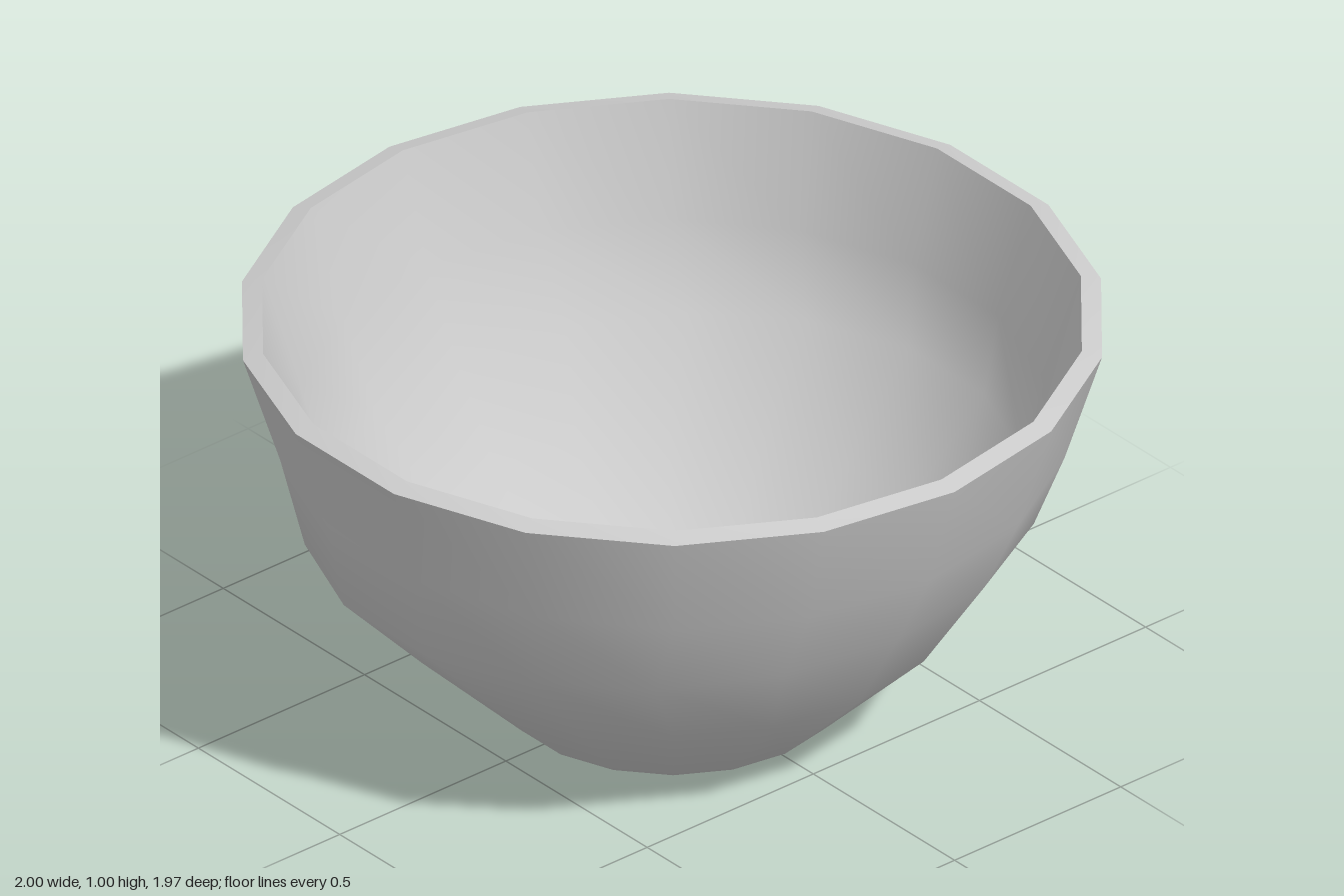
import * as THREE from 'three';
import { mergeVertices } from 'three/addons/utils/BufferGeometryUtils.js';

const SIDES = 18;
const BELLY_DEPTH = 1.104;

// Lathed strip with welded smooth normals; the belly ring is an oval, deeper front to back
function strip(name, points, material, bellyY) {
  const profile = points.map(([r, y]) => new THREE.Vector2(r, y));
  let geo = new THREE.LatheGeometry(profile, SIDES, Math.PI / 18);
  const p = geo.attributes.position;
  for (let i = 0; i < p.count; i++) {
    if (Math.abs(p.getY(i) - bellyY) < 0.001) p.setZ(i, p.getZ(i) * BELLY_DEPTH);
  }
  geo.deleteAttribute('uv');
  geo.deleteAttribute('normal');
  geo = mergeVertices(geo, 1e-4);
  geo.computeVertexNormals();
  const mesh = new THREE.Mesh(geo, material);
  mesh.name = name;
  return mesh;
}

export function createModel() {
  const group = new THREE.Group();
  group.name = 'bowl';
  const material = new THREE.MeshStandardMaterial({ color: 0xcccccc });

  // Outside wall, from the base centre up to the lip
  group.add(strip('outerWall',
    [[0, 0], [0.4, 0.008], [0.664, 0.27], [0.8, 0.5], [0.913, 0.71], [1, 0.988]], material, 0.5));
  // Narrow lip, slightly higher on the inside
  group.add(strip('rim', [[1, 0.988], [0.953, 1]], material));
  // Inside wall, from the lip down to the floor
  group.add(strip('innerWall',
    [[0.953, 1], [0.868, 0.73], [0.76, 0.523], [0.629, 0.303], [0.38, 0.056], [0, 0.048]], material, 0.523));
  return group;
}
